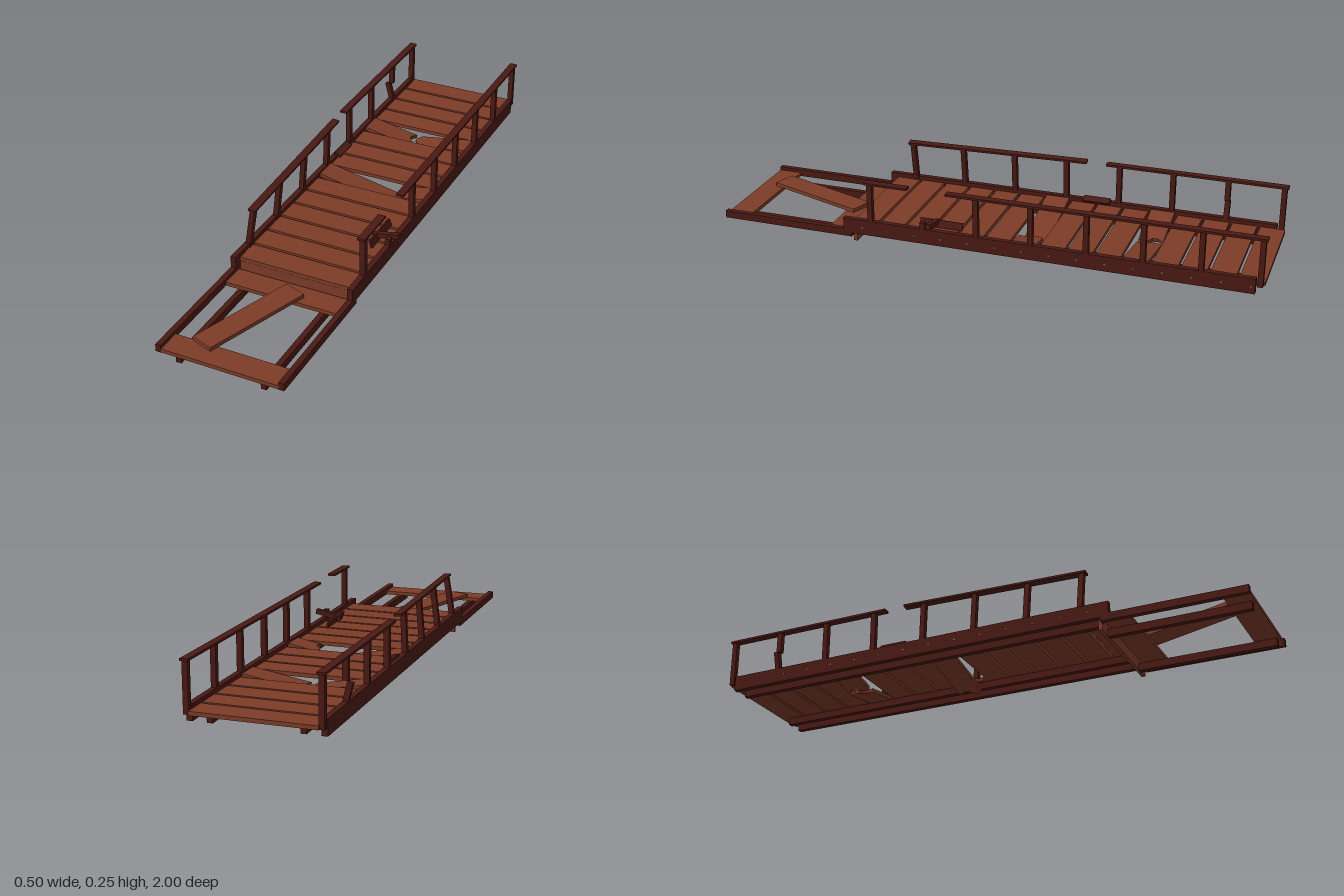
import * as THREE from 'three';

const plankMat = new THREE.MeshStandardMaterial({ color: 0x7d3c28 });
const beamMat = new THREE.MeshStandardMaterial({ color: 0x4a1a14 });
const nailMat = new THREE.MeshStandardMaterial({ color: 0x8c7a70 });

const POST_Z = [0.415, 0.215, 0.015, -0.185, -0.385, -0.585, -0.785, -0.985];
const SIDE = 0.222, HALF = 0.213, DECK = 0.069, THICK = 0.014, WIDTH = 0.089;

export function createModel() {
  const model = new THREE.Group();
  const body = new THREE.Group();
  body.name = 'brokenBridge';
  body.position.x = -0.004;
  model.add(body);

  // box given by its extents
  function box(name, mat, x0, x1, y0, y1, z0, z1) {
    const mesh = new THREE.Mesh(new THREE.BoxGeometry(x1 - x0, y1 - y0, z1 - z0), mat);
    mesh.position.set((x0 + x1) / 2, (y0 + y1) / 2, (z0 + z1) / 2);
    mesh.name = name;
    body.add(mesh);
    return mesh;
  }

  // square post running between two points
  function post(name, a, b, w = 0.019) {
    const from = new THREE.Vector3(...a), to = new THREE.Vector3(...b);
    const mesh = new THREE.Mesh(new THREE.BoxGeometry(w, from.distanceTo(to), w), beamMat);
    mesh.position.copy(from).add(to).multiplyScalar(0.5);
    mesh.quaternion.setFromUnitVectors(new THREE.Vector3(0, 1, 0), to.sub(from).normalize());
    mesh.name = name;
    body.add(mesh);
    return mesh;
  }

  const plank = (z, y) => box('plank', plankMat, -HALF, HALF, y, y + THICK, z - WIDTH / 2, z + WIDTH / 2);

  // snapped plank half: splintered end at xBreak, tipped about the stringer below it
  function brokenPlank(z, side, xBreak, angle) {
    const h = WIDTH / 2, pivot = side * 0.154;
    const s = new THREE.Shape();
    s.moveTo(side * HALF - pivot, -h);
    const jag = [[-1, 0.006], [-0.6, 0.014], [-0.25, 0.008], [0.1, -0.008], [0.5, -0.01], [0.8, 0], [1, 0.005]];
    for (const [t, d] of jag) s.lineTo(xBreak + d - pivot, t * h);
    s.lineTo(side * HALF - pivot, h);
    s.closePath();
    const geo = new THREE.ExtrudeGeometry(s, { depth: THICK, bevelEnabled: false }).rotateX(-Math.PI / 2);
    const mesh = new THREE.Mesh(geo, plankMat);
    mesh.position.set(pivot, DECK, z);
    mesh.rotation.z = angle;
    mesh.name = 'brokenPlank';
    body.add(mesh);
  }

  // upper deck, with two snapped planks
  for (let k = 0; k < 15; k++) {
    const z = -0.955 + 0.1 * k;
    if (k === 4) {
      brokenPlank(z, -1, -0.03, -0.19);
      brokenPlank(z, 1, -0.007, 0.16);
    } else if (k === 8) {
      brokenPlank(z, -1, 0.11, -0.2);
      brokenPlank(z, 1, 0.114, 0.18);
    } else plank(z, DECK);
    // nails through the curbs
    for (const s of [-1, 1]) {
      const nail = new THREE.Mesh(new THREE.CylinderGeometry(0.003, 0.003, 0.003, 8), nailMat);
      nail.rotation.z = Math.PI / 2;
      nail.position.set(s * (SIDE + 0.0105), DECK, z);
      nail.name = 'nail';
      body.add(nail);
    }
  }

  // curbs and stringers of both levels
  for (const s of [-1, 1]) {
    const c = s * SIDE, i = s * 0.154;
    box('curb', beamMat, c - 0.01, c + 0.01, 0.042, 0.098, -0.97, 0.52);
    box('stringer', beamMat, i - 0.01, i + 0.01, 0.042, DECK, -0.97, 0.476);
    box('lowerSideBeam', beamMat, c - 0.01, c + 0.01, 0.028, 0.055, 0.49, 1);
    box('lowerStringer', beamMat, i - 0.01, i + 0.01, 0, 0.028, 0.49, 0.99);
  }

  // header board at the step, lower planks and the loose diagonal plank
  box('headerBoard', plankMat, -HALF, HALF, 0.005, DECK, 0.476, 0.49);
  plank(0.546, 0.028);
  plank(0.955, 0.028);
  const loose = box('loosePlank', plankMat, -0.043, 0.043, 0.042, 0.056, -0.205, 0.205);
  loose.position.set(-0.038, 0.049, 0.735);
  loose.rotation.y = -0.33;

  // left-side rail (+x): one post snapped off
  for (const z of POST_Z) {
    if (z === 0.215) post('postStump', [SIDE, DECK, z], [SIDE, 0.122, z]);
    else post('post', [SIDE, DECK, z], [SIDE, 0.241, z]);
  }
  const rail = (x, z0, z1) => box('handrail', beamMat, x - 0.014, x + 0.014, 0.24, 0.248, z0, z1);
  rail(SIDE, -1, 0.125);
  rail(SIDE, 0.27, 0.435);
  post('fallenPost', [0.152, 0.1, 0.185], [0.25, 0.12, 0.185], 0.018);
  const fallenRail = box('fallenRail', beamMat, -0.004, 0.004, -0.014, 0.014, -0.08, 0.08);
  fallenRail.position.set(0.168, 0.098, 0.165);
  fallenRail.rotation.z = 0.35;

  // right-side rail (-x): front stretch leans inward, more towards the front
  const lean = z => -SIDE + 0.005 + 0.024 * (z + 0.26) / 0.69;
  const top = z => 0.243 - 0.004 * (z + 0.26) / 0.69;
  for (const z of POST_Z) {
    if (z > -0.2) post('leaningPost', [-SIDE, DECK, z], [lean(z), top(z), z]);
    else if (z === -0.785) {
      post('hangingPost', [-SIDE, 0.165, z], [-SIDE, 0.241, z]);
      post('postStump', [-SIDE + 0.003, 0.085, z], [-0.238, 0.16, z]);
    } else post('post', [-SIDE, DECK, z], [-SIDE, 0.241, z]);
  }
  rail(-SIDE, -1, -0.335);
  const leaning = box('leaningHandrail', beamMat, -0.014, 0.014, -0.004, 0.004, -0.347, 0.347);
  leaning.position.set(lean(0.085), top(0.085) + 0.003, 0.085);
  leaning.rotation.set(0.006, 0.035, -0.09);
  const chip = box('fallenRail', beamMat, -0.014, 0.014, -0.004, 0.004, -0.05, 0.05);
  chip.position.set(-0.209, 0.101, -0.305);
  chip.rotation.z = -0.4;

  return model;
}
